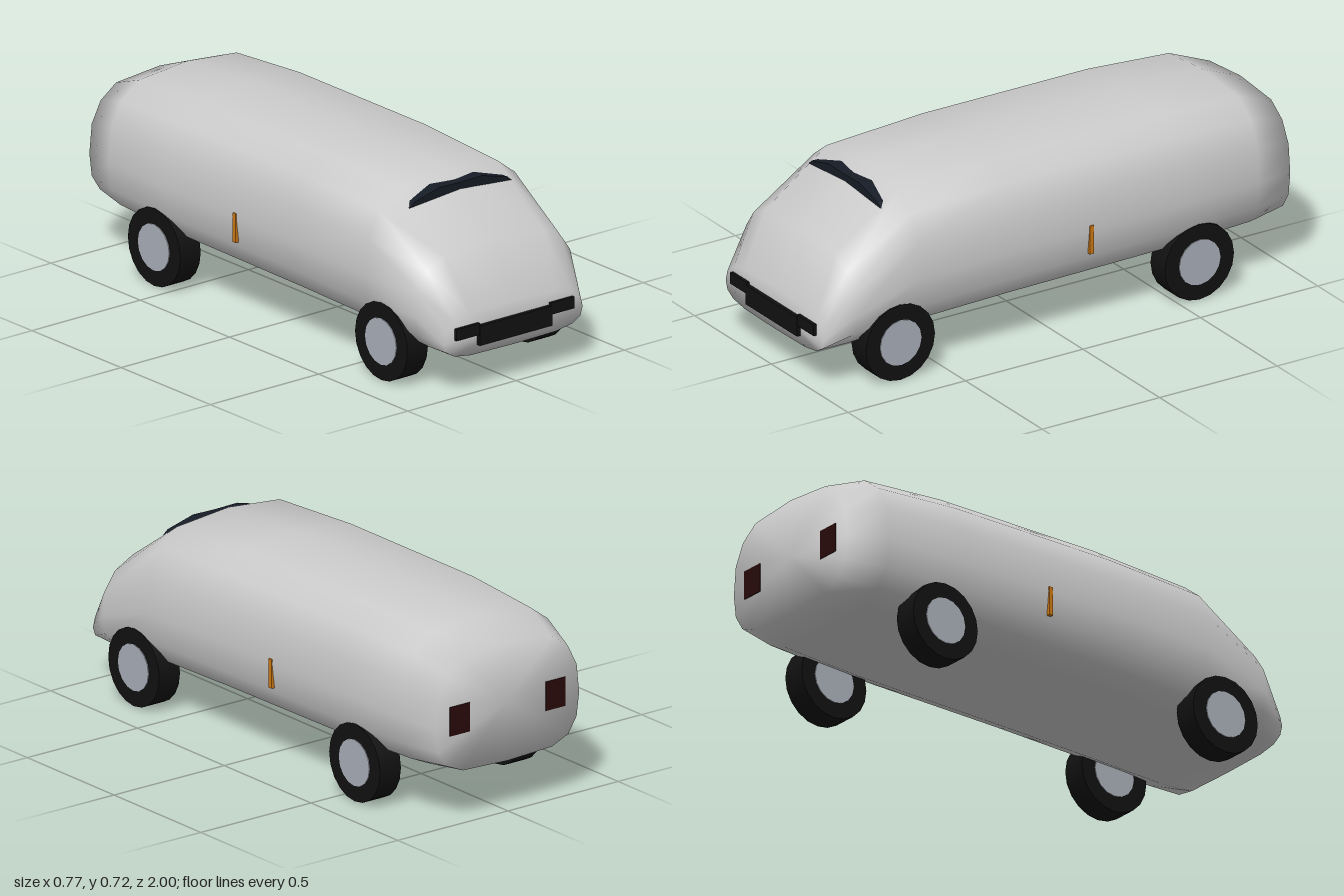
import * as THREE from 'three';

const mat = (color) => new THREE.MeshStandardMaterial({ color });

// Half cross-section, top to bottom: [share of half width, share of height]
const HALF = [[0, 1], [0.62, 0.96], [0.84, 0.845], [0.966, 0.667], [1, 0.418],
  [0.965, 0.222], [0.85, 0.09], [0.62, 0.018], [0, 0]];
const SECTION = [...HALF, ...HALF.slice(1, -1).reverse().map(([x, y]) => [-x, y])];

// Body stations, front to back: [z, half width, bottom, top]
const STATIONS = [[0.985, 0.32, 0.135, 0.3], [0.875, 0.365, 0.136, 0.505], [0.61, 0.376, 0.145, 0.695],
  [0.2, 0.38, 0.155, 0.717], [-0.5, 0.38, 0.163, 0.717], [-0.84, 0.365, 0.175, 0.697],
  [-0.997, 0.325, 0.19, 0.635]];

// Lofted shell with a fan closing each end
function bodyGeometry() {
  const pos = [], idx = [], n = SECTION.length;
  for (const [z, w, b, t] of STATIONS)
    for (const [x, y] of SECTION) pos.push(x * w, b + y * (t - b), z);
  const last = STATIONS.length - 1;
  const front = pos.length / 3, back = front + 1;
  for (const s of [STATIONS[0], STATIONS[last]]) pos.push(0, (s[2] + s[3]) / 2, s[0]);
  for (let j = 0; j < n; j++) {
    const k = (j + 1) % n;
    for (let i = 0; i < last; i++) {
      const a = i * n + j, b = i * n + k;
      idx.push(a, b, a + n, b, b + n, a + n);
    }
    idx.push(front, k, j, back, last * n + j, last * n + k);
  }
  const g = new THREE.BufferGeometry();
  g.setAttribute('position', new THREE.Float32BufferAttribute(pos, 3));
  g.setIndex(idx);
  g.computeVertexNormals();
  return g;
}

export function createModel() {
  const model = new THREE.Group();
  model.name = 'van';
  const black = mat(0x111111), rimMat = mat(0xaab0ba), amber = mat(0xd07a14),
    red = mat(0x2a0a0a), glass = mat(0x161c26);

  const add = (name, geometry, material, x, y, z, parent = model) => {
    const m = new THREE.Mesh(geometry, material);
    m.name = name;
    m.position.set(x, y, z);
    parent.add(m);
    return m;
  };
  const box = (name, w, h, d, material, x, y, z) =>
    add(name, new THREE.BoxGeometry(w, h, d), material, x, y, z);

  add('body', bodyGeometry(), mat(0xcccccc), 0, 0, 0);

  // Narrow windscreen band set into the sloping nose
  const band = new THREE.Shape([[-0.235, 0.62], [0, 0.64], [0.235, 0.62], [0.215, 0.637],
    [0.1, 0.667], [0, 0.665], [-0.1, 0.667], [-0.215, 0.637]].map(([x, y]) => new THREE.Vector2(x, y)));
  add('windscreen', new THREE.ExtrudeGeometry(band, { depth: 0.08, bevelEnabled: false }), glass, 0, 0, 0.608);

  // Grille
  box('grille', 0.335, 0.075, 0.03, black, 0, 0.208, 0.985);

  for (const [side, s] of [['left', 1], ['right', -1]]) {
    box(side + 'Headlight', 0.108, 0.044, 0.025, black, s * 0.218, 0.233, 0.985);
    box(side + 'TailLight', 0.09, 0.11, 0.01, red, s * 0.217, 0.395, -0.995);
    box(side + 'SideMarker', 0.03, 0.11, 0.017, amber, s * 0.368, 0.355, -0.115);

    // Wheels: tyre with a rim showing on both faces
    for (const [end, z] of [['Front', 0.69], ['Rear', -0.583]]) {
      const wheel = new THREE.Group();
      wheel.name = side + end + 'Wheel';
      wheel.position.set(s * 0.32, 0.147, z);
      wheel.rotation.z = Math.PI / 2;
      model.add(wheel);
      add('tyre', new THREE.CylinderGeometry(0.147, 0.147, 0.094, 20), black, 0, 0, 0, wheel);
      add('rim', new THREE.CylinderGeometry(0.088, 0.088, 0.1, 16), rimMat, 0, 0, 0, wheel);
    }
  }
  return model;
}
